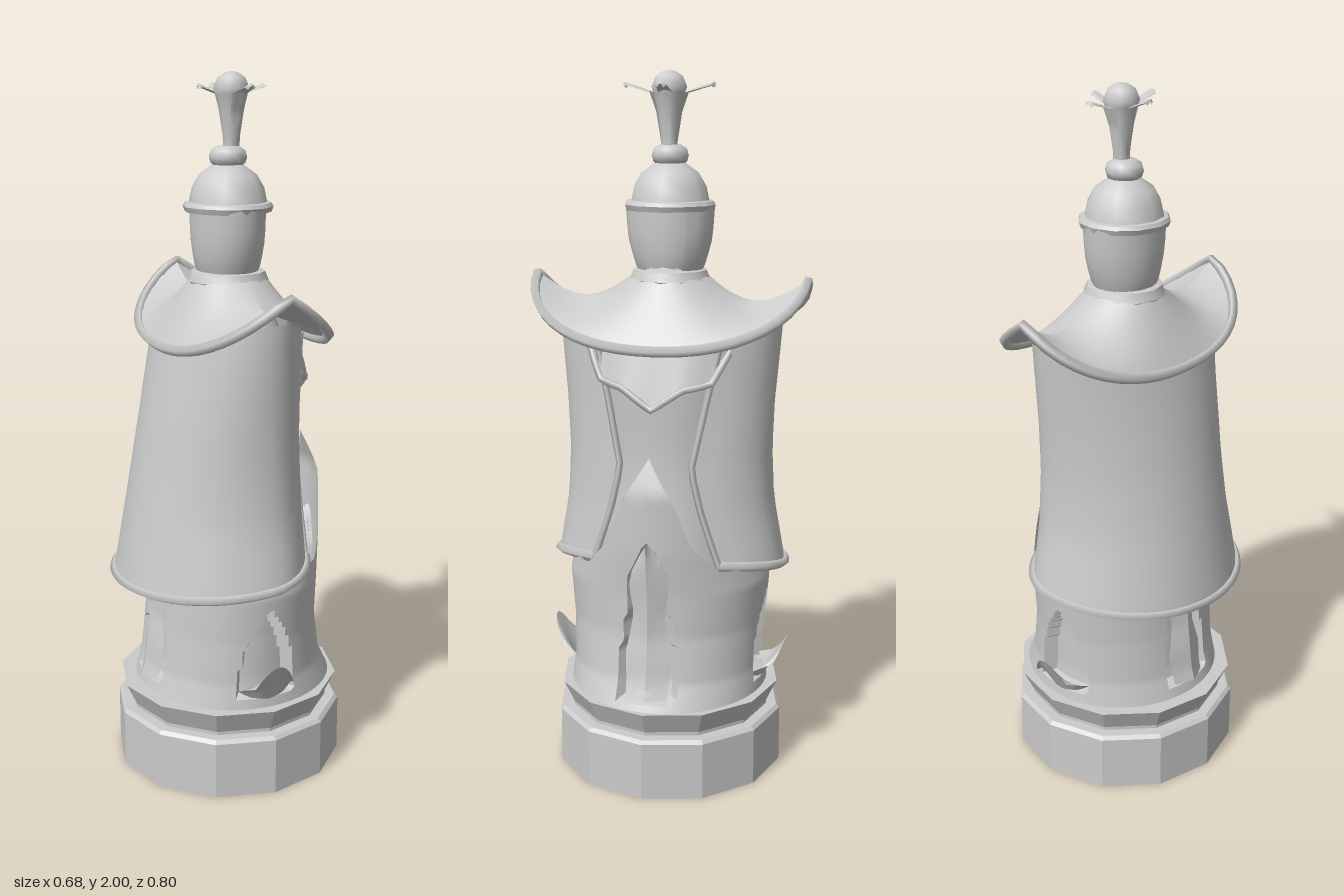
import * as THREE from 'three';
import { toCreasedNormals } from 'three/addons/utils/BufferGeometryUtils.js';

const material = new THREE.MeshStandardMaterial({ color: 0xcccccc });
const sheet = new THREE.MeshStandardMaterial({ color: 0xcccccc, side: THREE.DoubleSide });
const flat = new THREE.MeshStandardMaterial({ color: 0xcccccc, flatShading: true });
const TAU = Math.PI * 2;

// Piecewise linear lookup in rows [key, value, value, ...]; returns the values
function sample(rows, key) {
  let i = 0;
  while (i < rows.length - 2 && key > rows[i + 1][0]) i++;
  const [a, b] = [rows[i], rows[i + 1]];
  const t = THREE.MathUtils.clamp((key - a[0]) / (b[0] - a[0]), 0, 1);
  return a.slice(1).map((v, k) => v + (b[k + 1] - v) * t);
}

// Oval cross-section with separate front (+x), back (-x) and side (z) reach
function oval(angle, y, front, back, side) {
  const c = Math.cos(angle);
  return [c * (c > 0 ? front : back), y, side * Math.sin(angle)];
}

function add(group, name, geometry, mat = material) {
  const mesh = new THREE.Mesh(geometry, mat);
  mesh.name = name;
  group.add(mesh);
  return mesh;
}

// Surface from a rule (u, v) -> [x, y, z]
function surface(rule, nu, nv, crease = 0.7) {
  const pos = [], index = [];
  for (let j = 0; j <= nv; j++) for (let i = 0; i <= nu; i++) pos.push(...rule(i / nu, j / nv));
  for (let j = 0; j < nv; j++) for (let i = 0; i < nu; i++) {
    const a = j * (nu + 1) + i, b = a + nu + 1;
    index.push(a, b, a + 1, a + 1, b, b + 1);
  }
  const g = new THREE.BufferGeometry();
  g.setAttribute('position', new THREE.Float32BufferAttribute(pos, 3));
  g.setIndex(index);
  return toCreasedNormals(g, crease);
}

// Trim following an edge rule u -> [x, y, z]
function trim(rule, radius, closed, n = 48) {
  const pts = [];
  for (let i = 0; i < n + (closed ? 0 : 1); i++) pts.push(new THREE.Vector3(...rule(i / n)));
  return new THREE.TubeGeometry(new THREE.CatmullRomCurve3(pts, closed), n, radius, 4, closed);
}

function lathe(points, sides = 12, crease = 0.6) {
  const g = new THREE.LatheGeometry(points.map(p => new THREE.Vector2(...p)), sides);
  return toCreasedNormals(g, crease);
}

export function createModel() {
  const model = new THREE.Group();

  // Twelve-sided plinth with a flared ring
  const base = add(model, 'plinth', new THREE.LatheGeometry([
    [0, 0], [0.335, 0], [0.335, 0.165], [0.325, 0.175], [0.295, 0.175],
    [0.295, 0.185], [0.325, 0.25], [0.28, 0.25], [0, 0.25],
  ].map(p => new THREE.Vector2(...p)), 12), flat);
  base.rotation.y = 0;

  // Skirt rising to a pointed apron in front, with four arched recesses
  const skirt = [
    [0.25, 0.305, 0.275, 0.29], [0.32, 0.27, 0.255, 0.283], [0.45, 0.25, 0.24, 0.285],
    [0.58, 0.253, 0.23, 0.295], [0.7, 0.265, 0.2, 0.27], [0.87, 0.27, 0.2, 0.25], [0.97, 0.235, 0.2, 0.22],
  ];
  const skirtTop = [[0, 0.97], [0.3, 0.85], [0.45, 0.73], [0.75, 0.64], [Math.PI, 0.64]];
  const tallArch = [[0.28, 0.075], [0.42, 0.075], [0.55, 0.055], [0.64, 0.05], [0.73, 0]];
  const shortArch = [[0.28, 0.085], [0.36, 0.08], [0.44, 0.06], [0.54, 0]];
  add(model, 'skirt', surface((u, v) => {
    const angle = (u - 0.5) * TAU;
    const y = 0.25 + v * (sample(skirtTop, Math.abs(angle))[0] - 0.25);
    const p = oval(angle, y, ...sample(skirt, y));
    const alongX = Math.abs(p[0]) > Math.abs(p[2]);
    const width = sample(alongX ? tallArch : shortArch, y)[0];
    const inside = y > 0.28 && Math.abs(alongX ? p[2] : p[0]) < width;
    const k = inside ? 0.86 : 1;
    return [p[0] * k, y, p[2] * k];
  }, 120, 40), sheet);

  // Short lips curling out of the side recesses
  for (const side of [1, -1]) {
    add(model, 'sideLip', surface((u, v) => {
      const s = u * 2 - 1;
      const top = 0.4 - 0.07 * s * s, low = 0.27 + 0.03 * s * s;
      return [s * (0.06 + 0.025 * (1 - v)), low + (top - low) * v,
        side * (0.285 + 0.07 * v - 0.03 * s * s)];
    }, 10, 5), sheet);
  }

  // Long blades standing in the front and back recesses
  const blade = [[0.28, 0.06], [0.4, 0.068], [0.52, 0.045], [0.6, 0.058], [0.66, 0.045], [0.73, 0.002]];
  for (const side of [1, -1]) {
    add(model, side > 0 ? 'frontBlade' : 'backBlade', surface((u, v) => {
      const s = u * 2 - 1;
      const y = 0.28 + v * (side > 0 ? 0.45 : 0.34);
      const [front, back] = sample(skirt, y);
      const reach = (side > 0 ? front : back) + 0.012 - 0.025 * Math.abs(s);
      return [side * reach, y, s * sample(blade, 0.28 + v * 0.45)[0]];
    }, 4, 18), sheet);
  }

  // Torso inside the cape
  const torso = [[0.5, 0.17, 0.17, 0.22], [0.92, 0.14, 0.16, 0.18], [1.25, 0.16, 0.15, 0.22], [1.42, 0.09, 0.09, 0.1]];
  add(model, 'torso', surface((u, v) => {
    const y = 0.5 + v * 0.92;
    return oval(u * TAU, y, ...sample(torso, y));
  }, 24, 12));

  // Pointed chest flap under the mantle
  const flapEdge = [[0, 1.1], [0.35, 1.155], [0.7, 1.17], [1.05, 1.28]];
  const flap = (u, v) => {
    const angle = (u - 0.5) * 2.1;
    const low = sample(flapEdge, Math.abs(angle))[0];
    return oval(angle, low + (1.34 - low) * v, 0.215 - 0.06 * v, 0.2, 0.24);
  };
  add(model, 'chestFlap', surface(flap, 24, 4), sheet);
  add(model, 'chestFlapTrim', trim(u => flap(u, 0), 0.011, false, 24));

  // Cape wrapped round the back, open in front
  const cape = [
    [0.58, 0.2, 0.335, 0.343], [0.64, 0.195, 0.325, 0.333], [0.8, 0.185, 0.298, 0.303],
    [0.95, 0.178, 0.27, 0.296], [1.1, 0.17, 0.24, 0.303], [1.36, 0.165, 0.18, 0.325],
  ];
  const opening = [[0.64, 0.58], [0.8, 0.44], [0.92, 0.35], [1.1, 0.47], [1.3, 0.6]];
  const capePoint = (u, v) => {
    const rough = 0.64 + v * 0.66;
    const start = sample(opening, rough)[0];
    const angle = start + u * (TAU - 2 * start);
    const low = 0.62 + 0.035 * Math.cos(angle);
    const high = 1.28 + 0.08 * Math.sin(angle) ** 2;
    const y = low + (high - low) * v;
    return oval(angle, y, ...sample(cape, y));
  };
  add(model, 'cape', surface(capePoint, 28, 14), sheet);
  add(model, 'capeHem', trim(u => capePoint(u, 0), 0.014, false));
  for (const end of [0, 1]) add(model, 'capeEdge', trim(v => capePoint(end, v), 0.01, false, 16));

  // Mantle sweeping up into a wing over each shoulder
  const bulge = t => Math.sign(t) * Math.abs(t) ** 0.9;
  const mantle = (u, v) => {
    const angle = u * TAU, c = Math.cos(angle), s = Math.sin(angle);
    const rim = [bulge(c) * (c > 0 ? 0.23 : 0.215), 1.265 + 0.175 * (1 - Math.abs(c)), bulge(s) * 0.39];
    const neck = [c * 0.1, 1.45, s * 0.1];
    const p = neck.map((n, k) => rim[k] + (n - rim[k]) * v);
    p[1] -= 0.065 * Math.sin(Math.PI * v) * s * s;
    return p;
  };
  add(model, 'mantle', surface(mantle, 32, 8), sheet);
  add(model, 'mantleTrim', trim(u => mantle(u, 0), 0.015, true));
  add(model, 'neckBand', lathe([[0.09, 1.4], [0.115, 1.435], [0.105, 1.46], [0.08, 1.465], [0.07, 1.5]]));

  // Face inside cheek guards
  const head = [[1.44, 0.07, 0.075, 0.08], [1.48, 0.088, 0.092, 0.098], [1.55, 0.096, 0.1, 0.116], [1.64, 0.098, 0.102, 0.122]];
  const headPoint = (angle, v, k) => {
    const y = 1.44 + v * 0.2;
    return oval(angle, y, ...sample(head, y).map(r => r * k));
  };
  add(model, 'face', surface((u, v) => headPoint(u * TAU, v, 0.92), 20, 6));
  const guard = (u, v) => headPoint(0.58 + u * (TAU - 1.16), v, 1.03);
  add(model, 'cheekGuard', surface(guard, 18, 6), sheet);

  // Helmet dome with brim, bead and plume holder
  const helmet = add(model, 'helmet', lathe([
    [0.095, 1.625], [0.12, 1.625], [0.126, 1.64], [0.12, 1.65], [0.108, 1.652],
    [0.1, 1.69], [0.08, 1.725], [0.045, 1.75], [0.035, 1.757],
  ], 12, 0.8));
  helmet.scale.z = 1.03;
  add(model, 'bead', lathe([
    [0.035, 1.745], [0.048, 1.757], [0.053, 1.772], [0.048, 1.79], [0.03, 1.802], [0, 1.803],
  ], 12, 1));

  // Plume: a bud with four curling petals
  const plume = new THREE.Group();
  plume.name = 'plume';
  plume.position.x = 0.01;
  model.add(plume);
  add(plume, 'bud', lathe([
    [0.022, 1.79], [0.024, 1.83], [0.035, 1.9], [0.045, 1.94], [0.05, 1.955], [0.038, 1.983], [0.018, 1.996], [0, 2],
  ], 10, 1));
  const petal = [[0, 0.022, 1.8, 0.012], [0.35, 0.036, 1.89, 0.016], [0.6, 0.055, 1.945, 0.02],
    [0.8, 0.09, 1.957, 0.018], [0.95, 0.125, 1.968, 0.016], [1, 0.13, 1.962, 0.008]];
  for (let i = 0; i < 4; i++) {
    const mesh = add(plume, 'petal', surface((u, v) => {
      const [r, y, w] = sample(petal, v), s = u * 2 - 1;
      return [r - 0.006 * s * s, y - 0.01 * s * s * v, s * w];
    }, 4, 20), sheet);
    mesh.rotation.y = i * Math.PI / 2;
    if (i % 2 === 0) mesh.scale.x = 0.78;
  }
  return model;
}
